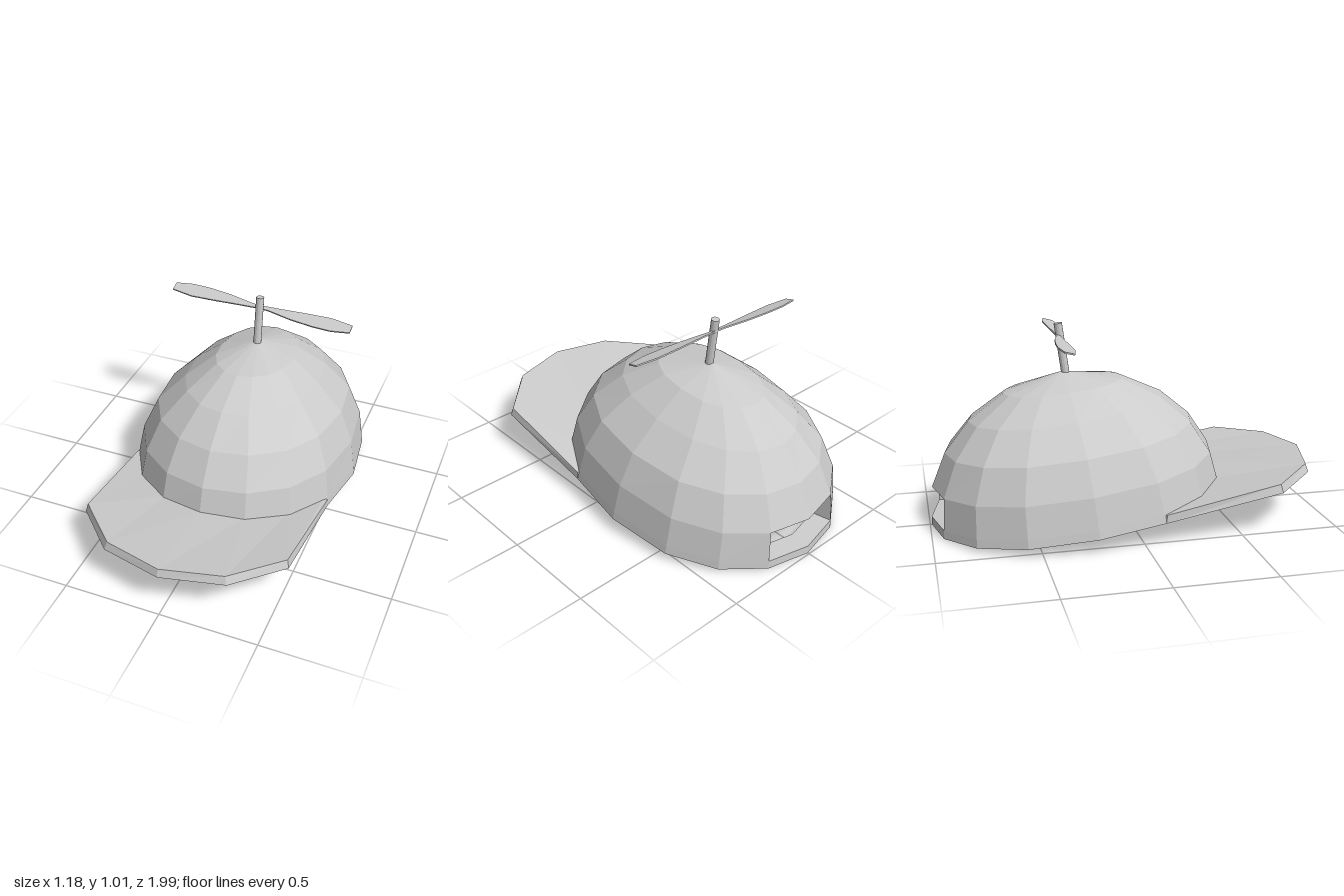
import * as THREE from 'three';

const SIDES = 16;
const TILT = 0.105;
const CENTRE = { y: 0.08, z: -0.238 };

const material = () => new THREE.MeshStandardMaterial({
  color: 0xcccccc, flatShading: true, side: THREE.DoubleSide,
});

// Faceted mesh from a list of four-cornered faces
function quadMesh(name, quads) {
  const points = [];
  for (const [a, b, c, d] of quads) points.push(a, b, c, a, c, d);
  const geometry = new THREE.BufferGeometry().setFromPoints(points);
  geometry.computeVertexNormals();
  const mesh = new THREE.Mesh(geometry, material());
  mesh.name = name;
  return mesh;
}

// Point on a crown ring: an oval slightly fuller towards the front and back
function ringPoint([rx, rz, y], i) {
  const a = (i / SIDES) * Math.PI * 2;
  const c = Math.cos(a);
  return new THREE.Vector3(rx * Math.sin(a), y, rz * Math.sign(c) * Math.abs(c) ** 0.85);
}

const RIM = [0.59, 0.758, 0];

// Oval crown: inner ceiling and wall, rim, then the outer dome up to its tip
function makeCrown() {
  const rings = [
    [0, 0, 0.29], [0.385, 0.5, 0.29], [0.425, 0.55, 0.2], [0.502, 0.65, 0.042], [0.505, 0.655, 0],
    RIM, [0.584, 0.752, 0.042], [0.557, 0.726, 0.2],
    [0.485, 0.638, 0.366], [0.345, 0.5, 0.508], [0.2, 0.305, 0.622], [0, 0, 0.69],
  ].map((r) => Array.from({ length: SIDES + 1 }, (_, i) => ringPoint(r, i)));
  const quads = [];
  const back = SIDES / 2;
  for (let k = 0; k < rings.length - 1; k++) {
    for (let i = 0; i < SIDES; i++) {
      const opening = (k === 2 || k === 6) && (i === back - 1 || i === back);
      if (opening) continue;
      quads.push([rings[k][i], rings[k][i + 1], rings[k + 1][i + 1], rings[k + 1][i]]);
    }
  }
  // Sill, lintel and jambs of the rear opening
  const [, , inTop, inLow, , , outLow, outTop] = rings;
  for (const i of [back - 1, back]) {
    quads.push([outLow[i], outLow[i + 1], inLow[i + 1], inLow[i]]);
    quads.push([inTop[i], inTop[i + 1], outTop[i + 1], outTop[i]]);
  }
  const l = back - 1, r = back + 1;
  quads.push([outLow[l], inLow[l], inTop[l], outTop[l]]);
  quads.push([inLow[r], outLow[r], outTop[r], inTop[r]]);
  return quadMesh('crown', quads);
}

// Visor: stations from the right side round to the left, lofted to the crown rim
function makeVisor() {
  // Upper edge x, z, y, then how far the lower edge stands out and drops
  const outline = [
    [0, 0.983, 0.288, 0.012, 0.043], [0.302, 0.905, 0.281, 0.012, 0.043],
    [0.526, 0.682, 0.261, 0.01, 0.043], [0.543, 0.1, 0.157, 0.002, 0.041],
  ];
  const stations = [];
  for (let s = -3; s <= 3; s++) {
    const n = Math.abs(s);
    const [x, z, y, out, drop] = outline[n];
    const side = Math.sign(s);
    const rim = ringPoint(RIM, s);
    const rimY = CENTRE.y + rim.z * Math.sin(TILT);
    const rimZ = rim.z * Math.cos(TILT);
    stations.push([
      new THREE.Vector3(rim.x, rimY, rimZ + CENTRE.z),
      new THREE.Vector3(side * (x + out), y - drop, z + (n < 3 ? out : 0)),
      new THREE.Vector3(side * x, y, z),
      new THREE.Vector3(rim.x * 0.96, rimY + 0.065 - 0.008 * n, rimZ * 0.96 + CENTRE.z),
    ]);
  }
  const quads = [];
  for (let s = 0; s < 6; s++) {
    for (let k = 0; k < 3; k++) {
      quads.push([stations[s][k], stations[s + 1][k], stations[s + 1][k + 1], stations[s][k + 1]]);
    }
  }
  quads.push(stations[0], [...stations[6]].reverse());
  return quadMesh('visor', quads);
}

// Two-bladed propeller: one blade outline, turned half round for the other
function makePropeller() {
  const blade = [[0, 0.01], [0.12, 0.013], [0.25, 0.018], [0.38, 0.02], [0.495, -0.002],
    [0.495, -0.053], [0.4, -0.067], [0.3, -0.062], [0.18, -0.045], [0.05, -0.015]];
  const both = [...blade, ...blade.map(([x, y]) => [-x, -y])];
  const shape = new THREE.Shape(both.map(([x, y]) => new THREE.Vector2(x, y)));
  const geometry = new THREE.ExtrudeGeometry(shape, { depth: 0.007, bevelEnabled: false });
  geometry.translate(0, 0, -0.0035);
  const mesh = new THREE.Mesh(geometry, material());
  mesh.name = 'propeller';
  mesh.position.set(0, 0.95, -0.328);
  mesh.rotation.x = -Math.PI / 2 + 0.25;
  return mesh;
}

export function createModel() {
  const group = new THREE.Group();
  group.name = 'propellerCap';

  // Crown and spindle lean back together
  const tilted = new THREE.Group();
  tilted.name = 'crownAndSpindle';
  tilted.position.set(0, CENTRE.y, CENTRE.z);
  tilted.rotation.x = -TILT;
  const spindle = new THREE.Mesh(new THREE.CylinderGeometry(0.021, 0.021, 0.27, 12), material());
  spindle.name = 'spindle';
  spindle.position.set(0, 0.8, 0.015);
  spindle.rotation.x = -0.03;
  tilted.add(makeCrown(), spindle);

  group.add(tilted, makeVisor(), makePropeller());
  return group;
}
